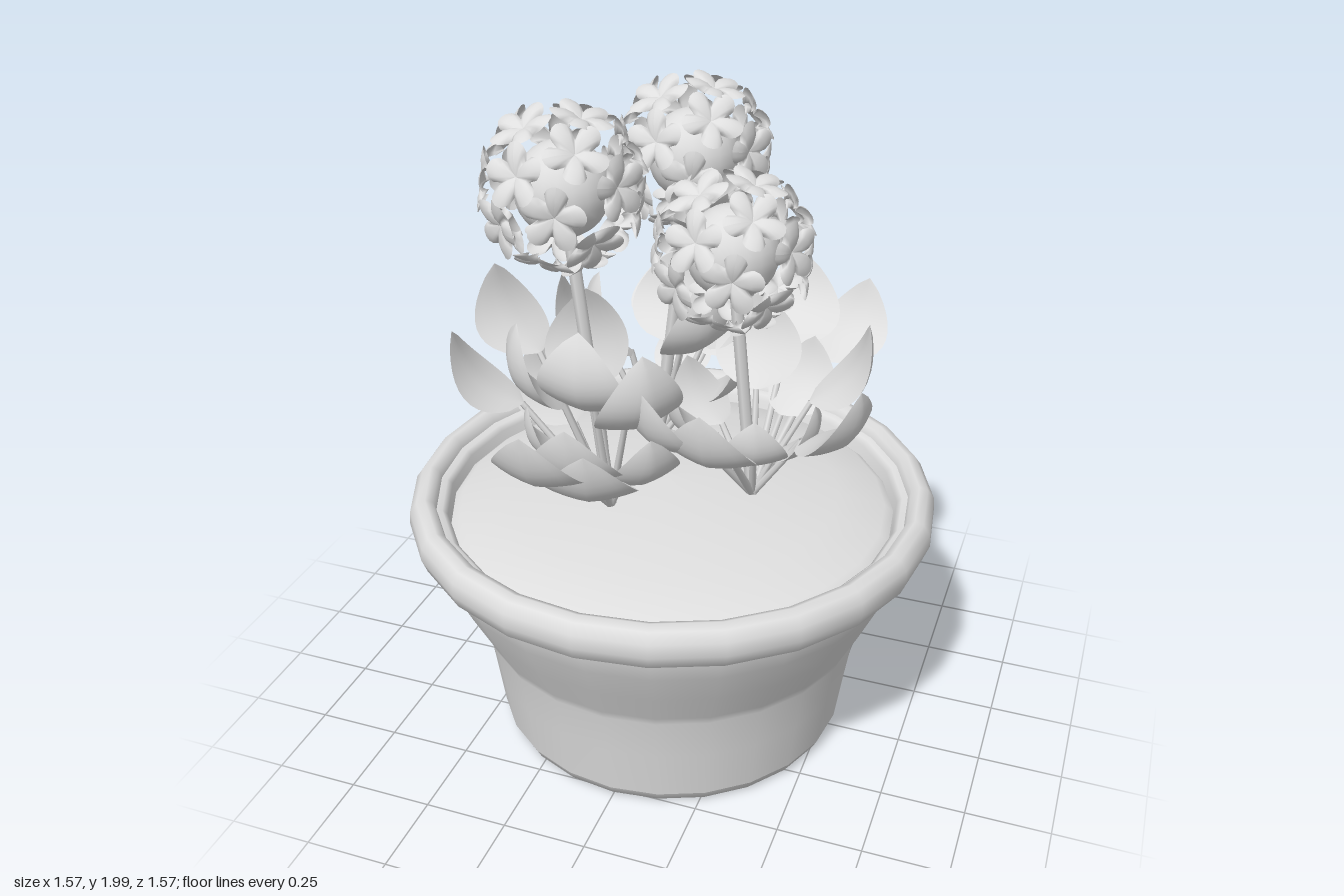
import * as THREE from 'three';
import { mergeGeometries } from 'three/addons/utils/BufferGeometryUtils.js';

const grey = new THREE.MeshStandardMaterial({ color: 0xdedede, side: THREE.DoubleSide });
grey.name = 'plain grey';
const UP = new THREE.Vector3(0, 1, 0);
const V = (a) => new THREE.Vector3(...a);

function add(parent, name, geometry) {
  const mesh = new THREE.Mesh(geometry, grey);
  mesh.name = name;
  parent.add(mesh);
  return mesh;
}

function lathe(parent, name, points) {
  return add(parent, name, new THREE.LatheGeometry(points.map((p) => new THREE.Vector2(...p)), 24));
}

// Thin straight stalk between two points
function stalk(parent, name, from, to, r0, r1) {
  const line = new THREE.Vector3().subVectors(to, from);
  const mesh = add(parent, name, new THREE.CylinderGeometry(r1, r0, line.length(), 6, 1, true));
  mesh.position.addVectors(from, to).multiplyScalar(0.5);
  mesh.quaternion.setFromUnitVectors(UP, line.normalize());
}

// One face of a leaf: x across, y out of the blade, z towards the tip; bulge lifts the midrib
function leafFace(bulge) {
  const g = new THREE.PlaneGeometry(2, 1, 8, 12);
  const p = g.attributes.position;
  const turn = Math.sign(bulge);
  for (let i = 0; i < p.count; i++) {
    const v = -turn * p.getX(i);
    const u = p.getY(i) + 0.5;
    const profile = Math.pow(Math.max(0, Math.sin(Math.PI * Math.pow(u, 0.8))), 0.75);
    const ridge = bulge * profile * (1 - 0.4 * Math.abs(v) - 0.6 * v * v);
    const curl = 0.22 * (u - 0.5) * (u - 0.5) - 0.015;
    p.setXYZ(i, 0.128 * profile * v, ridge + curl, (u - 0.5) * 0.29);
  }
  g.computeVertexNormals();
  return g;
}

// Puffy five-petal blossom facing +y, made of scaled rings
function blossomGeometry() {
  const n = 40;
  const rings = [0, 0.3, 0.6, 0.85, 1];
  const pos = [];
  const index = [];
  rings.forEach((t, j) => {
    for (let i = 0; i <= n; i++) {
      const a = (i / n) * Math.PI * 2;
      const lobe = Math.pow(Math.abs(Math.cos(2.5 * a)), 0.55);
      const r = 0.088 * t * (1 - t * 0.55 * (1 - lobe));
      const h = 0.01 * Math.sin(Math.PI * t) + 0.014 * t * lobe - 0.01 * t * t * (1 - lobe);
      pos.push(r * Math.cos(a), h, r * Math.sin(a));
      if (j > 0 && i < n) {
        const c = j * (n + 1) + i;
        const b = c - n - 1;
        index.push(b, c + 1, c, b, b + 1, c + 1);
      }
    }
  });
  const g = new THREE.BufferGeometry();
  g.setAttribute('position', new THREE.Float32BufferAttribute(pos, 3));
  g.setIndex(index);
  g.computeVertexNormals();
  return g;
}

// Each plant: root, flower-head centre and leaf centres
const plants = [
  {
    root: [0.25, 0.8, 0], head: [0.19, 1.58, 0.05],
    leaves: [[0.5, 1.2, -0.1], [0.52, 1.12, 0.1], [0.27, 1.25, -0.39], [0.44, 1.22, -0.36], [0.23, 1.14, 0.35],
      [0.09, 1.16, 0.33], [0.34, 1.1, -0.2], [0.3, 1.05, 0.17], [0.05, 1.05, -0.1], [0.4, 1.03, 0.02],
      [0.08, 1.1, 0.12], [0.2, 1.2, -0.2]],
  },
  {
    root: [-0.12, 0.8, 0.2], head: [-0.22, 1.77, 0.235],
    leaves: [[-0.08, 1.14, 0.54], [-0.14, 1.17, 0.64], [-0.03, 1.1, 0.56], [-0.47, 1.31, 0.08], [-0.48, 1.2, 0.28],
      [-0.29, 1.28, 0.35], [-0.12, 1.29, 0.38], [0.03, 1.24, 0.35], [-0.27, 1.06, 0.32], [-0.35, 1.1, 0.1],
      [0.05, 1.06, 0.38], [-0.22, 1.28, 0.1]],
  },
  {
    root: [-0.12, 0.8, -0.2], head: [0, 1.76, -0.175],
    leaves: [[-0.23, 1.12, -0.62], [-0.06, 1.32, -0.55], [0.03, 1.12, -0.48], [-0.37, 1.2, -0.17], [-0.3, 1.08, -0.07],
      [0.1, 1.25, -0.28], [-0.1, 1.05, -0.38], [0.05, 1.28, -0.08], [-0.25, 1.25, -0.1], [0.1, 1.06, -0.2],
      [-0.15, 1.2, -0.42]],
  },
];

export function createModel() {
  const model = new THREE.Group();
  model.name = 'pottedFlowers';

  // Pot: tapered base with flared wall, rolled rim, inner wall and domed soil
  lathe(model, 'potBottom', [[0, 0], [0.5, 0], [0.525, 0.01], [0.54, 0.04]]);
  lathe(model, 'potBody', [[0.54, 0.04], [0.562, 0.2], [0.583, 0.34], [0.595, 0.37], [0.65, 0.48],
    [0.7, 0.59], [0.722, 0.65], [0.725, 0.69]]);
  lathe(model, 'potRim', [[0.7, 0.675], [0.745, 0.672], [0.772, 0.69], [0.787, 0.73], [0.784, 0.77], [0.764, 0.798],
    [0.738, 0.806], [0.715, 0.795], [0.707, 0.77]]);
  lathe(model, 'potInside', [[0.72, 0.768], [0.69, 0.765], [0.675, 0.75], [0.655, 0.67]]);
  lathe(model, 'soil', [[0.67, 0.715], [0.64, 0.74], [0.5, 0.775], [0.3, 0.8], [0.12, 0.812], [0, 0.815]]);

  const leafShape = mergeGeometries([leafFace(0.012), leafFace(-0.036)]);
  const blossomShape = blossomGeometry();
  const core = new THREE.SphereGeometry(0.13, 20, 14);
  const count = 22;

  plants.forEach(({ root, head, leaves }) => {
    const plant = new THREE.Group();
    plant.name = 'plant';
    model.add(plant);
    const base = V(root);
    const top = V(head);
    stalk(plant, 'stem', base, top, 0.018, 0.018);

    // Leaves point away from the root, curling upwards; the inner ones are smaller
    leaves.forEach((c) => {
      const centre = V(c);
      const dir = centre.clone().sub(base);
      const size = THREE.MathUtils.clamp(dir.length() / 0.42, 0.75, 1);
      dir.normalize();
      const side = new THREE.Vector3().crossVectors(UP, dir).normalize();
      const normal = new THREE.Vector3().crossVectors(dir, side);
      const leaf = add(plant, 'leaf', leafShape);
      leaf.position.copy(centre);
      leaf.scale.setScalar(size);
      leaf.quaternion.setFromRotationMatrix(new THREE.Matrix4().makeBasis(side, normal, dir));
      const joint = centre.clone().addScaledVector(dir, -0.14 * size).addScaledVector(normal, 0.035 * size);
      stalk(plant, 'leafStalk', base, joint, 0.012, 0.009);
    });

    // Flower head: round core with an open shell of slightly tilted blossoms
    const ball = new THREE.Group();
    ball.name = 'flowerHead';
    ball.position.copy(top);
    plant.add(ball);
    add(ball, 'flowerCore', core);
    for (let i = 0; i < count; i++) {
      const y = 1 - (2 * i + 1) / count;
      const a = i * 2.39996;
      const r = Math.sqrt(1 - y * y);
      const out = new THREE.Vector3(r * Math.cos(a), y, r * Math.sin(a));
      const blossom = add(ball, 'blossom', blossomShape);
      blossom.position.copy(out).multiplyScalar(0.198);
      blossom.quaternion.setFromUnitVectors(UP, out);
      blossom.rotateY(i * 1.3);
      blossom.rotateX(0.15 * Math.sin(i * 2.1));
    }
  });
  return model;
}
